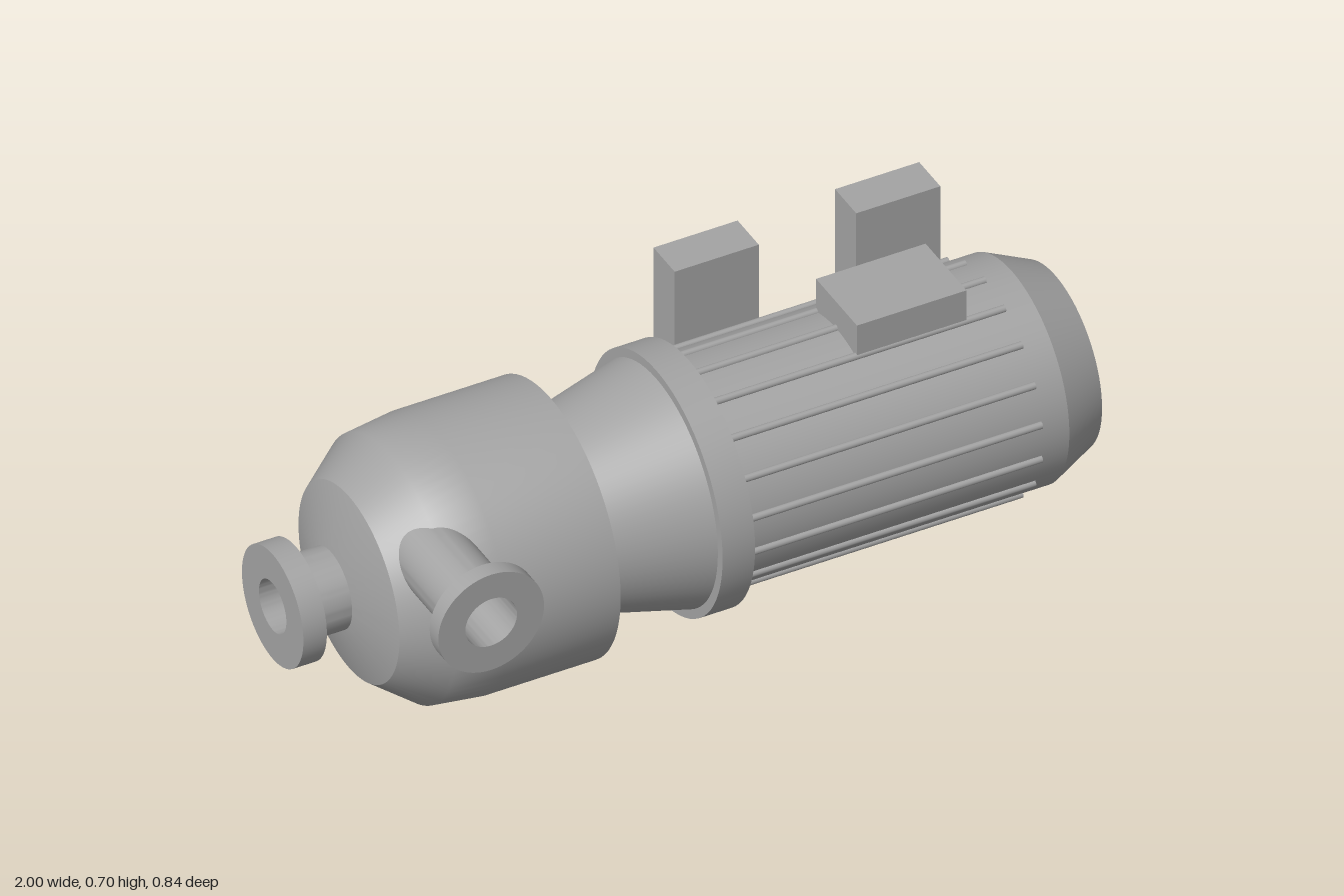
import * as THREE from 'three';
import { toCreasedNormals } from 'three/addons/utils/BufferGeometryUtils.js';

const AXIS_Y = 0.353, AXIS_Z = -0.05;

export function createModel() {
  const group = new THREE.Group();
  const grey = new THREE.MeshStandardMaterial({ color: 0xa3a3a3 });
  grey.name = 'machine grey';

  const add = (name, geometry, x, y, z) => {
    const mesh = new THREE.Mesh(geometry, grey);
    mesh.name = name;
    mesh.position.set(x, y, z);
    group.add(mesh);
    return mesh;
  };

  // Turned part: profile points are [radius, distance along the axis]
  const turned = (profile) => toCreasedNormals(
    new THREE.LatheGeometry(profile.map(([r, a]) => new THREE.Vector2(r, a)), 72), 0.56);

  // Turned part on the main shaft axis, running along x
  const onShaft = (name, profile) =>
    add(name, turned(profile).rotateZ(-Math.PI / 2), 0, AXIS_Y, AXIS_Z);

  // Suction nozzle with an open bore
  onShaft('suctionNozzle', [[0, -0.85], [0.066, -0.85], [0.066, -1], [0.148, -1],
    [0.148, -0.94], [0.1, -0.94], [0.1, -0.83]]);

  // Pump casing with a domed front
  onShaft('pumpCasing', [[0, -0.85], [0.1, -0.85], [0.243, -0.805], [0.323, -0.7],
    [0.338, -0.575], [0.338, -0.29], [0, -0.29]]);

  // Tapered adapter between pump and motor
  onShaft('adapter', [[0.23, -0.29], [0.297, -0.02]]);
  onShaft('motorFlange', [[0, -0.02], [0.32, -0.02], [0.32, 0.063], [0, 0.063]]);

  // Motor body and tapered fan cover
  onShaft('motorBody', [[0.275, 0.063], [0.275, 0.89]]);
  onShaft('fanCover', [[0.275, 0.89], [0.225, 1], [0, 1]]);

  // Discharge nozzle facing forward, with an open bore
  add('dischargeNozzle', turned([[0.088, 0.05], [0.088, 0.38], [0.135, 0.38],
    [0.135, 0.422], [0.066, 0.422], [0.066, 0.1], [0, 0.1]]).rotateX(Math.PI / 2),
  -0.692, 0.516, 0);

  // Round cooling ribs around the motor
  const rib = new THREE.CylinderGeometry(0.009, 0.009, 0.757, 12).rotateZ(Math.PI / 2);
  const ribCount = 18;
  for (let i = 0; i < ribCount; i++) {
    const a = (i / ribCount) * Math.PI * 2;
    add('coolingRib', rib, 0.4415, AXIS_Y + 0.276 * Math.cos(a), AXIS_Z + 0.276 * Math.sin(a));
  }

  // Terminal box on top
  add('terminalBox', new THREE.BoxGeometry(0.28, 0.103, 0.197), 0.58, 0.6515, -0.0485);

  // Two mounting feet behind the motor
  for (const x of [0.278, 0.742]) {
    add('mountingFoot', new THREE.BoxGeometry(0.215, 0.703, 0.102), x, 0.3515, -0.371);
  }

  return group;
}
